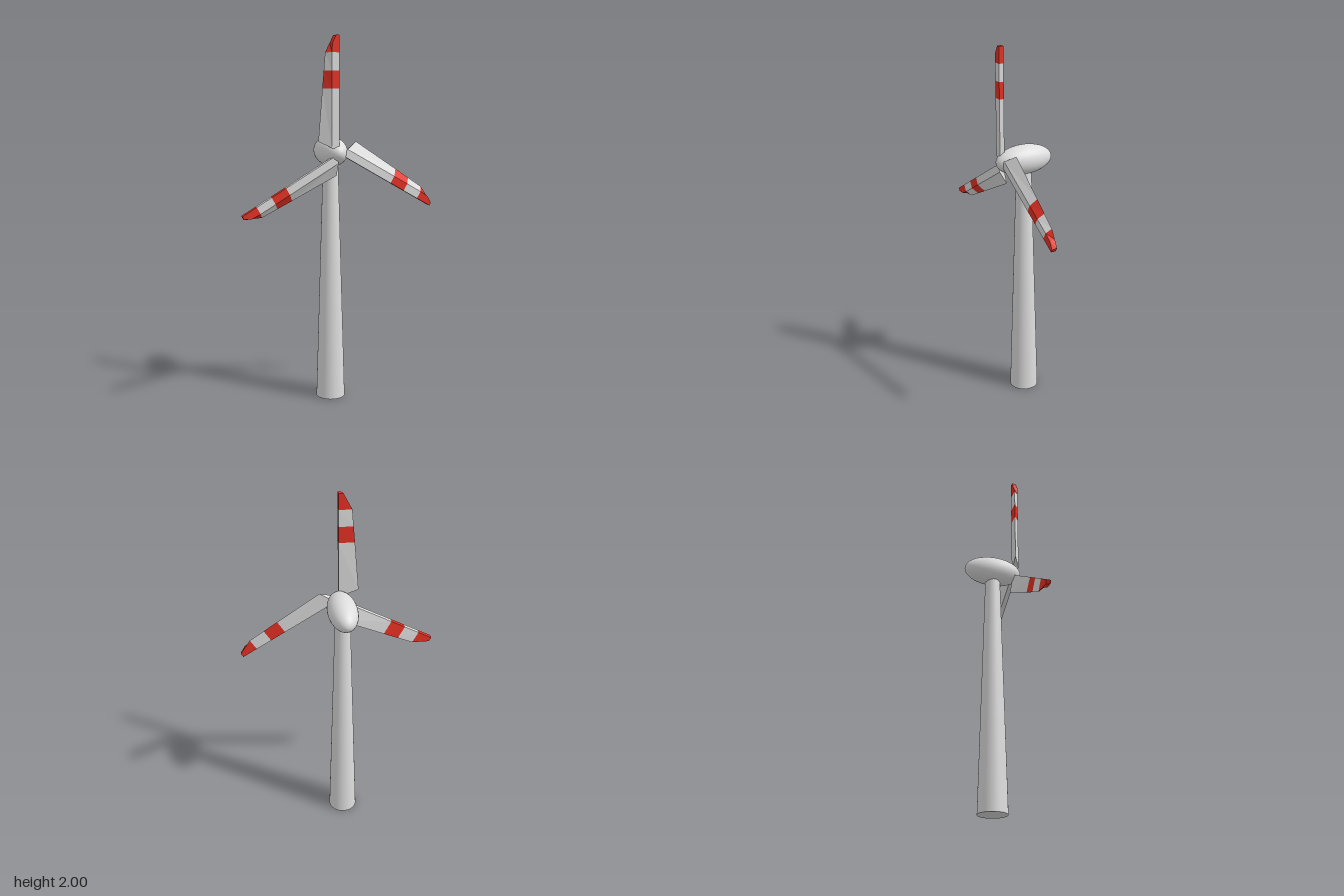
import * as THREE from 'three';

const white = new THREE.MeshStandardMaterial({ color: 0xdedede });
white.name = 'paleGrey';
const red = new THREE.MeshStandardMaterial({ color: 0xe63123 });
red.name = 'signalRed';

const HUB_X = -0.007, HUB_Y = 1.389;

// Blade cross-section: flat trailing edge at x = 0, front crease, sharp leading edge
// r: distances from the hub of the trailing edge, crease and leading edge
function section(rTrail, rCrease, rLead, crease, lead, zLead) {
  return [
    [0, rTrail, 0.142],
    [-crease, rCrease, 0.142],
    [-lead, rLead, zLead],
    [0, rTrail, 0.116],
  ];
}

function bladeGeometry() {
  const flat = (r, crease, lead, z) => section(r, r, r, crease, lead, z);
  const sections = [
    section(0.02, 0.03, 0.063, 0.042, 0.104, 0.102),
    flat(0.34, 0.042, 0.084, 0.11),
    flat(0.43, 0.042, 0.077, 0.112),
    flat(0.523, 0.042, 0.07, 0.114),
    flat(0.572, 0.04, 0.045, 0.115),
    flat(0.611, 0.018, 0.026, 0.116),
  ];
  const spanColours = [0, 1, 0, 1, 1];
  const positions = [];
  const geometry = new THREE.BufferGeometry();
  const tri = (a, b, c) => positions.push(...a, ...b, ...c);

  spanColours.forEach((colour, i) => {
    const start = positions.length / 3;
    const low = sections[i], high = sections[i + 1];
    for (let j = 0; j < 4; j++) {
      const k = (j + 1) % 4;
      tri(low[j], high[j], high[k]);
      tri(low[j], high[k], low[k]);
    }
    // root and tip caps
    if (i === 0) {
      tri(low[0], low[1], low[2]);
      tri(low[0], low[2], low[3]);
    }
    if (i === spanColours.length - 1) {
      tri(high[0], high[2], high[1]);
      tri(high[0], high[3], high[2]);
    }
    geometry.addGroup(start, positions.length / 3 - start, colour);
  });

  geometry.setAttribute('position', new THREE.Float32BufferAttribute(positions, 3));
  geometry.computeVertexNormals();
  return geometry;
}

export function createModel() {
  const model = new THREE.Group();
  model.name = 'windTurbine';

  // Tapered tower, reaching into the nacelle
  const towerHeight = 1.34;
  const tower = new THREE.Mesh(new THREE.CylinderGeometry(0.041, 0.08, towerHeight, 32), white);
  tower.name = 'tower';
  tower.position.set(HUB_X, towerHeight / 2, 0);
  model.add(tower);

  // Egg-shaped nacelle
  const nacelle = new THREE.Mesh(new THREE.SphereGeometry(1, 32, 24).rotateX(Math.PI / 2), white);
  nacelle.name = 'nacelle';
  nacelle.scale.set(0.08, 0.08, 0.163);
  nacelle.position.set(HUB_X, HUB_Y, 0);
  model.add(nacelle);

  // Rotor with three striped blades
  const rotor = new THREE.Group();
  rotor.name = 'rotor';
  rotor.position.set(HUB_X, HUB_Y, 0);
  const geometry = bladeGeometry();
  for (let i = 0; i < 3; i++) {
    const blade = new THREE.Mesh(geometry, [white, red]);
    blade.name = `blade${i + 1}`;
    blade.rotation.z = (i * Math.PI * 2) / 3;
    rotor.add(blade);
  }
  model.add(rotor);

  return model;
}
